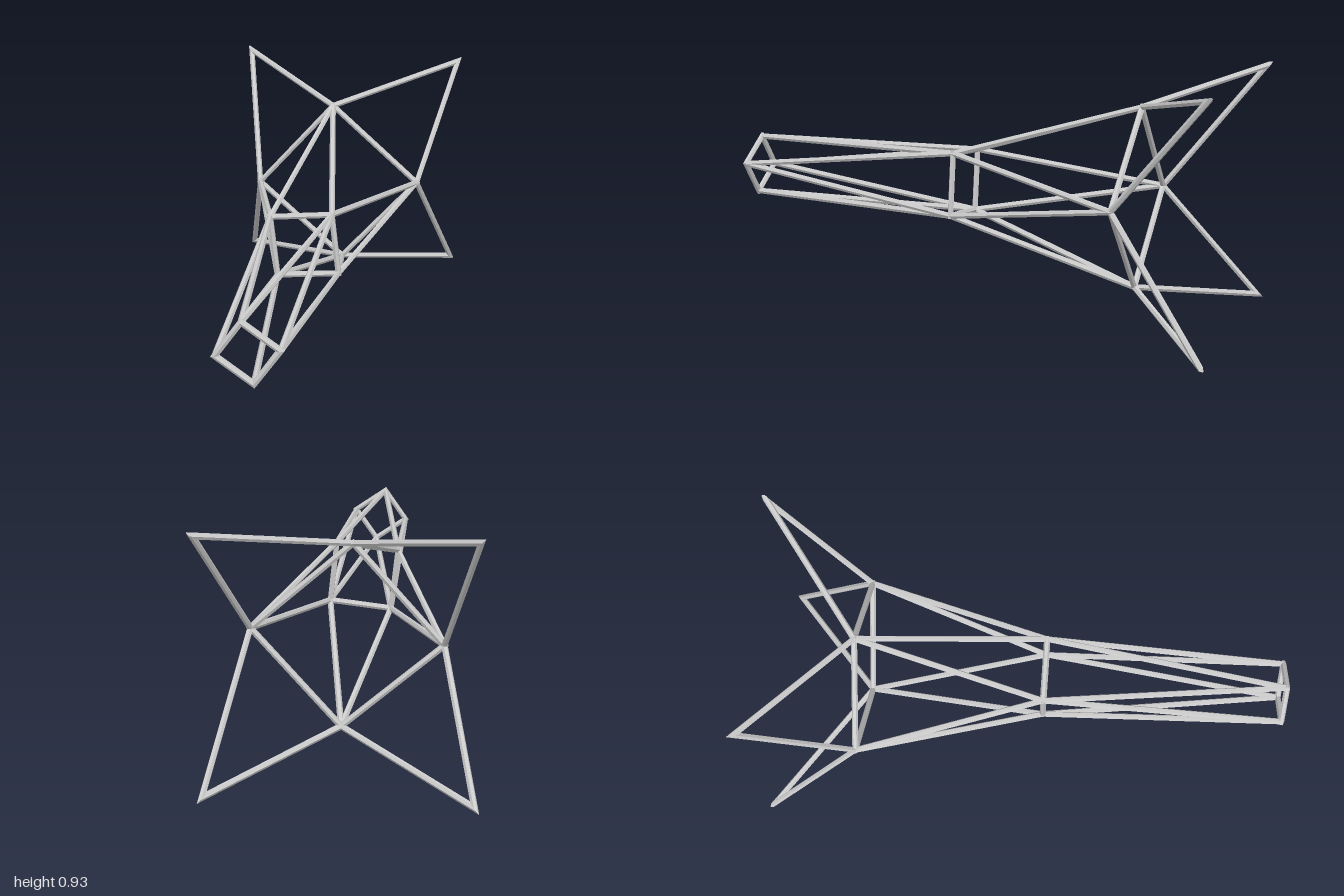
import * as THREE from 'three';

const R = 0.0115, SIDES = 6, MID = 0.468;

// Straight bar from p to q; its ends are cut by planes with normals np and nq (mitres).
function barGeometry(p, q, np, nq) {
  const d = q.clone().sub(p).normalize();
  const ref = Math.abs(d.y) < 0.9 ? new THREE.Vector3(0, 1, 0) : new THREE.Vector3(1, 0, 0);
  const u = ref.cross(d).normalize(), v = d.clone().cross(u);
  const ring = (c, n) => Array.from({ length: SIDES }, (_, i) => {
    const a = i / SIDES * Math.PI * 2;
    const off = u.clone().multiplyScalar(R * Math.cos(a)).addScaledVector(v, R * Math.sin(a));
    return off.addScaledVector(d, -off.dot(n) / d.dot(n)).add(c);
  });
  const a = ring(p, np || d), b = ring(q, nq || d), tris = [];
  for (let i = 0; i < SIDES; i++) {
    const j = (i + 1) % SIDES;
    tris.push(a[i], a[j], b[j], a[i], b[j], b[i], p, a[j], a[i], q, b[i], b[j]);
  }
  const g = new THREE.BufferGeometry().setFromPoints(tris);
  g.computeVertexNormals();
  return g;
}

export function createModel() {
  const model = new THREE.Group();
  model.name = 'trussFrame';
  const steel = new THREE.MeshStandardMaterial({ color: 0xcccccc });
  steel.name = 'light grey steel';

  // Bars along a path, mitred where they meet
  function path(name, pts, closed) {
    const group = new THREE.Group();
    group.name = name;
    const n = pts.length, count = closed ? n : n - 1;
    const dir = i => pts[(i + 1) % n].clone().sub(pts[i % n]).normalize();
    const mitre = i => (!closed && (i === 0 || i === n - 1)) ? null : dir((i + n - 1) % n).add(dir(i % n));
    for (let i = 0; i < count; i++) {
      const mesh = new THREE.Mesh(barGeometry(pts[i], pts[(i + 1) % n], mitre(i), mitre(i + 1)), steel);
      mesh.name = name + 'Bar';
      group.add(mesh);
    }
    model.add(group);
  }

  // Four corners, each a quarter turn clockwise from the last
  const square = (x, y, z) => {
    const pts = [];
    for (let i = 0; i < 4; i++) {
      pts.push(new THREE.Vector3(x, MID + y, z));
      [x, y] = [y, -x];
    }
    return pts;
  };
  const front = square(-0.02, 0.11, 0.987);
  const middle = square(-0.132, 0.105, 0.077);
  const rear = square(-0.022, 0.335, -0.62);
  const tips = square(0.452, 0.452, -0.98);

  path('frontRing', front, true);
  path('middleRing', middle, true);
  path('rearRing', rear, true);

  for (let i = 0; i < 4; i++) {
    const j = (i + 1) % 4;
    // Triangulated braces between the rings
    for (const k of [i, j]) {
      path('frontBrace', [front[i], middle[k]], false);
      path('rearBrace', [middle[k], rear[i]], false);
    }
    // Pointed fins behind the rear ring
    path('tailFin', [rear[i], tips[i], rear[j]], false);
  }
  return model;
}
